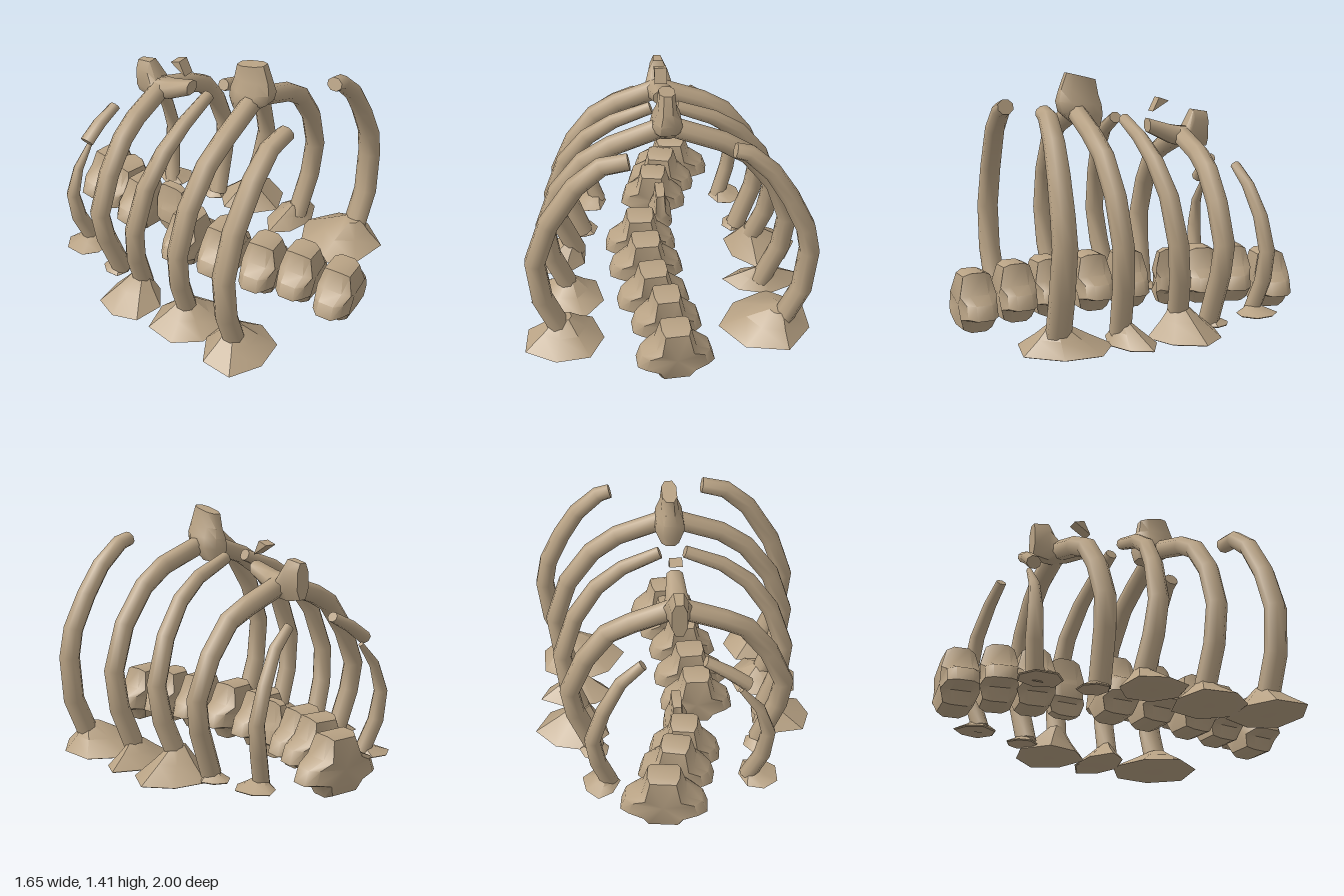
import * as THREE from 'three';
import { toCreasedNormals } from 'three/addons/utils/BufferGeometryUtils.js';

const V = (x, y, z) => new THREE.Vector3(x, y, z);

// Skin equal-sized rings (counter-clockwise around the direction of travel) and cap both ends
function loft(rings, crease = 1.1) {
  const n = rings[0].length, pos = [], idx = [];
  const centre = r => r.reduce((s, p) => s.add(p), V(0, 0, 0)).divideScalar(n);
  rings.flat().forEach(p => pos.push(p.x, p.y, p.z));
  const last = (rings.length - 1) * n, c0 = rings.length * n, c1 = c0 + 1;
  [centre(rings[0]), centre(rings[rings.length - 1])].forEach(p => pos.push(p.x, p.y, p.z));
  for (let j = 0; j < n; j++) {
    const k = (j + 1) % n;
    for (let i = 0; i < last; i += n) {
      idx.push(i + j, i + k, i + n + j, i + k, i + n + k, i + n + j);
    }
    idx.push(c0, k, j, c1, last + j, last + k);
  }
  const g = new THREE.BufferGeometry();
  g.setAttribute('position', new THREE.Float32BufferAttribute(pos, 3));
  g.setIndex(idx);
  return toCreasedNormals(g, crease);
}

// Bone along a path of [x, y, z], with in-plane radius rn and depth radius rz, thinning towards the tip
function bone(path, rn, rz, taper = 0.8) {
  const pts = path.map(p => V(...p)), last = pts.length - 1;
  return loft(pts.map((p, i) => {
    const t = pts[Math.min(i + 1, last)].clone().sub(pts[Math.max(i - 1, 0)]).setZ(0).normalize();
    const s = 1 + (taper - 1) * (i / last) ** 2;
    return Array.from({ length: 8 }, (_, j) => {
      const a = (j + 0.5) / 8 * Math.PI * 2, u = Math.cos(a) * rn * s * 1.05;
      return V(p.x - t.y * u, p.y + t.x * u, p.z + Math.sin(a) * rz * s * 1.05);
    });
  }));
}

// Irregular spreading foot rising to meet the end of a rib
function mound(cx, cz, rx, rz, tx, tz, y0, h, seed) {
  const levels = [[y0, 0.97, 0], [y0 + 0.006, 1.03, 0], [y0 + h * 0.55, 0.56, 0.5], [y0 + h, 0.2, 1]];
  return loft(levels.map(([y, s, m]) => Array.from({ length: 7 }, (_, j) => {
    const a = (j + seed * 0.37) / 7 * Math.PI * 2, w = 1 + 0.08 * Math.sin(j * 2.3 + seed * 1.7);
    return V(cx + (tx - cx) * m + Math.sin(a) * rx * s * w, y, cz + (tz - cz) * m + Math.cos(a) * rz * s * w);
  })), 0.6);
}

// Vertebra: spine on top, side wings, narrow base, bevelled fore and aft
const OUTLINE = [[-0.08, 0.35], [-0.11, 0.23], [-0.19, 0.19], [-0.215, 0.11], [-0.12, 0.09], [-0.09, 0.02],
  [0.09, 0.02], [0.12, 0.09], [0.215, 0.11], [0.19, 0.19], [0.11, 0.23], [0.08, 0.35]];
function vertebra() {
  return loft([[-0.105, 0.8], [-0.055, 1], [0.055, 1], [0.105, 0.8]].map(([z, s]) =>
    OUTLINE.map(([x, y]) => V(x * s, 0.18 + (y - 0.18) * (s + 1) / 2,
      z * (y > 0.3 ? 0.74 : y < 0.05 ? 0.78 : Math.abs(x) > 0.15 ? 0.82 : 1)))), 0.9);
}

// Octagonal section, used by the crown bones
function octagon(place) {
  return [[1, -0.5], [1, 0.5], [0.5, 1], [-0.5, 1], [-1, 0.5], [-1, -0.5], [-0.5, -1], [0.5, -1]]
    .map(([a, b]) => place(a, b));
}

export function createModel() {
  const group = new THREE.Group();
  const mat = new THREE.MeshStandardMaterial({ color: 0xb8a284 });
  mat.name = 'weathered bone';
  const add = (name, geo) => {
    const m = new THREE.Mesh(geo, mat);
    m.name = name;
    group.add(m);
    return m;
  };
  const flip = path => path.map(([x, y, z]) => [-x, y, z]);

  // Front rib pair, open at the top
  add('frontRibLeft', bone([[0.62, 0.06, 0.6], [0.725, 0.32, 0.61], [0.752, 0.58, 0.6], [0.72, 0.74, 0.6],
    [0.63, 0.93, 0.59], [0.53, 1.09, 0.58], [0.4, 1.21, 0.57], [0.33, 1.23, 0.57]], 0.056, 0.066, 0.68));
  add('frontRibRight', bone([[-0.61, 0.06, 0.59], [-0.71, 0.32, 0.6], [-0.735, 0.58, 0.6], [-0.65, 0.83, 0.6],
    [-0.5, 1.07, 0.61], [-0.36, 1.19, 0.61], [-0.22, 1.22, 0.62]], 0.058, 0.062, 0.75));

  // Middle rib pairs
  const second = [[0.56, 0.06, 0.23], [0.66, 0.33, 0.25], [0.685, 0.55, 0.26], [0.6, 0.8, 0.27],
    [0.45, 1.0, 0.28], [0.3, 1.1, 0.29], [0, 1.21, 0.28]];
  const third = [[0.52, 0.06, -0.12], [0.62, 0.33, -0.09], [0.645, 0.53, -0.07], [0.56, 0.78, -0.05],
    [0.43, 0.96, -0.02], [0.28, 1.07, 0], [0.07, 1.155, 0.01]];
  const fourth = [[0.48, 0.05, -0.33], [0.58, 0.33, -0.35], [0.605, 0.5, -0.36], [0.51, 0.72, -0.36],
    [0.38, 0.89, -0.36], [0.25, 0.96, -0.37], [0, 1.05, -0.37]];
  [['second', second, 0.95], ['third', third, 0.6], ['fourth', fourth, 1]].forEach(([n, p, t]) => {
    add(n + 'RibLeft', bone(p, 0.055, 0.056, t));
    add(n + 'RibRight', bone(flip(p), 0.055, 0.056, t));
  });

  // Short rear rib pair, the right one snapped in two
  add('rearRibLeft', bone([[0.4, 0.06, -0.64], [0.46, 0.25, -0.68], [0.485, 0.42, -0.69], [0.42, 0.61, -0.68],
    [0.32, 0.78, -0.65], [0.2, 0.88, -0.63]], 0.046, 0.046, 0.6));
  add('rearRibRightLower', bone([[-0.38, 0.06, -0.64], [-0.45, 0.25, -0.68], [-0.475, 0.42, -0.69],
    [-0.425, 0.58, -0.68], [-0.32, 0.71, -0.67]], 0.047, 0.046, 0.3));
  add('rearRibRightUpper', bone([[-0.36, 0.74, -0.66], [-0.25, 0.82, -0.65], [-0.13, 0.885, -0.63]], 0.035, 0.04, 0.8));

  // Feet: centre x z, radii x z, rib position x z, base height, height, seed
  [['frontFootLeft', 0.555, 0.54, 0.26, 0.24, 0.61, 0.6, 0.01, 0.15, 1],
    ['frontFootRight', -0.6, 0.61, 0.225, 0.2, -0.6, 0.58, 0.01, 0.15, 2],
    ['secondFootLeft', 0.58, 0.18, 0.215, 0.13, 0.57, 0.22, 0.01, 0.13, 3],
    ['secondFootRight', -0.59, 0.25, 0.21, 0.2, -0.57, 0.23, 0.01, 0.13, 4],
    ['thirdFootLeft', 0.6, -0.14, 0.21, 0.2, 0.54, -0.12, 0.015, 0.17, 5],
    ['thirdFootRight', -0.64, -0.11, 0.19, 0.165, -0.54, -0.12, 0.015, 0.15, 6],
    ['fourthFootLeft', 0.48, -0.36, 0.085, 0.085, 0.48, -0.34, 0.03, 0.06, 7],
    ['fourthFootRight', -0.48, -0.36, 0.085, 0.085, -0.48, -0.34, 0.03, 0.06, 8],
    ['rearFootLeft', 0.45, -0.65, 0.1, 0.12, 0.41, -0.64, 0.05, 0.06, 9],
    ['rearFootRight', -0.44, -0.64, 0.11, 0.13, -0.39, -0.64, 0.05, 0.06, 10],
  ].forEach(([name, ...a]) => add(name, mound(...a)));

  // Front crown: tall keel over the second ribs; sections y, z, half x, half z, tilt
  add('frontCrown', loft([[1.11, 0.2, 0.05, 0.06, 0], [1.19, 0.25, 0.085, 0.12, 0.01],
    [1.25, 0.26, 0.075, 0.125, 0.01], [1.31, 0.26, 0.05, 0.11, 0.015], [1.4, 0.25, 0.042, 0.085, 0.02],
  ].map(([y, z, hx, hz, t]) => octagon((a, b) => V(b * hx, y + a * t, z + a * hz)))));

  // Rear crown: long low keel with an upturned back; sections z, y, half x, half y
  add('rearCrown', loft([[-0.53, 1.08, 0.042, 0.1], [-0.44, 1.08, 0.055, 0.115], [-0.39, 1.035, 0.08, 0.06],
    [-0.3, 1.055, 0.06, 0.055], [-0.16, 1.11, 0.045, 0.04]].map(([z, y, hx, hy]) =>
    octagon((a, b) => V(a * hx, y + b * hy, z)))));
  const shard = new THREE.Shape([new THREE.Vector2(0.18, 1.19), new THREE.Vector2(0.28, 1.25), new THREE.Vector2(0.22, 1.27)]);
  const tip = add('crownShard', new THREE.ExtrudeGeometry(shard, { depth: 0.07, bevelEnabled: false }));
  tip.rotation.y = Math.PI / 2;
  tip.position.x = -0.035;

  // Backbone: x, y, z, turn, width
  [[0, -0.01, 0.885, 0.08, 0.98], [-0.03, 0.015, 0.645, 0.08, 0.9], [-0.09, 0.015, 0.43, 0.12, 0.95],
    [-0.115, 0.015, 0.16, 0.05, 1], [-0.135, 0.01, -0.08, -0.02, 0.98], [0, 0.025, -0.31, 0, 0.35],
    [-0.03, 0.02, -0.51, -0.15, 0.93], [0.03, 0.03, -0.69, -0.22, 0.97], [0.11, 0, -0.89, -0.12, 1.1],
  ].forEach(([x, y, z, turn, w], i) => {
    const v = add('vertebra' + (i + 1), vertebra());
    v.position.set(x, y, z);
    v.rotation.y = turn;
    v.scale.x = w;
  });
  return group;
}
